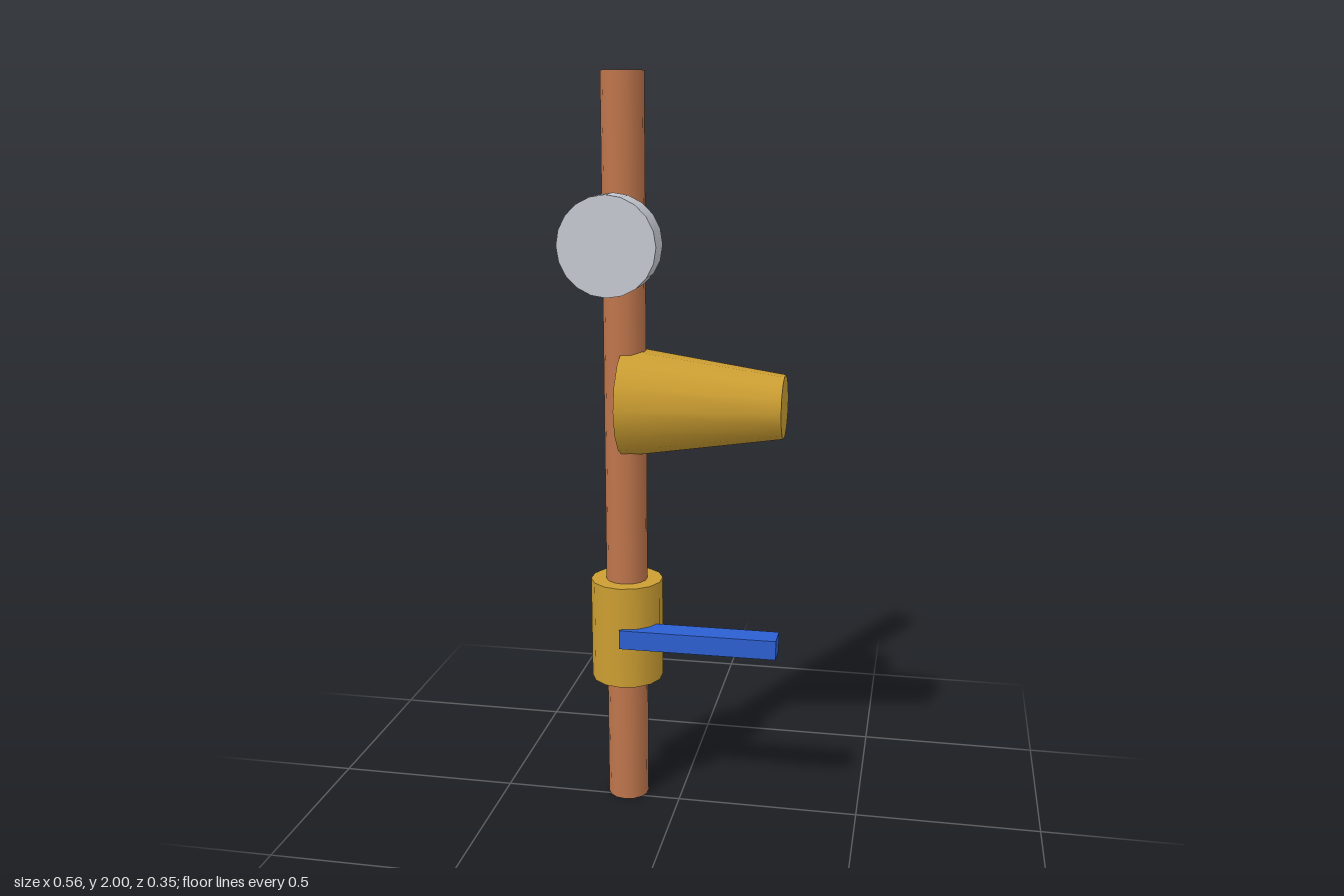
import * as THREE from 'three';

const flat = (name, color) => {
  const m = new THREE.MeshStandardMaterial({ color });
  m.name = name;
  return m;
};

export function createModel() {
  const copper = flat('copper', 0xbe754c);
  const brass = flat('brass', 0xcc9e32);
  const blue = flat('blue', 0x2c5fd2);
  const steel = flat('pale steel', 0xc6cad2);

  const group = new THREE.Group();
  group.name = 'pipeAssembly';
  const X = -0.152, Z = -0.0285; // pipe axis

  const add = (name, geometry, material, x, y, z) => {
    const mesh = new THREE.Mesh(geometry, material);
    mesh.name = name;
    mesh.position.set(x, y, z);
    group.add(mesh);
    return mesh;
  };
  const tube = (top, bottom, length, sides = 14) =>
    new THREE.CylinderGeometry(top, bottom, length, sides);

  // Upright pipe and the valve body around it
  add('pipe', tube(0.0565, 0.0565, 2), copper, X, 1, Z);
  add('valveBody', tube(0.099, 0.099, 0.286), brass, X, 0.502, Z);

  // Lever on the front of the valve
  add('valveHandle', new THREE.BoxGeometry(0.429, 0.053, 0.071), blue, 0.0625, 0.502, 0.043);

  // Tapered outlet pointing to the side, wide end on the pipe axis
  add('outletCone', tube(0.085, 0.1485, 0.429).rotateZ(-Math.PI / 2), brass, 0.0625, 1.145, Z);

  // Pressure gauge on a short stem
  add('gaugeStem', tube(0.0325, 0.0325, 0.12).rotateX(Math.PI / 2), brass, X, 1.575, 0.0315);
  add('gaugeDial', tube(0.127, 0.127, 0.085, 20).rotateX(Math.PI / 2), steel, X, 1.575, 0.1325);

  return group;
}
